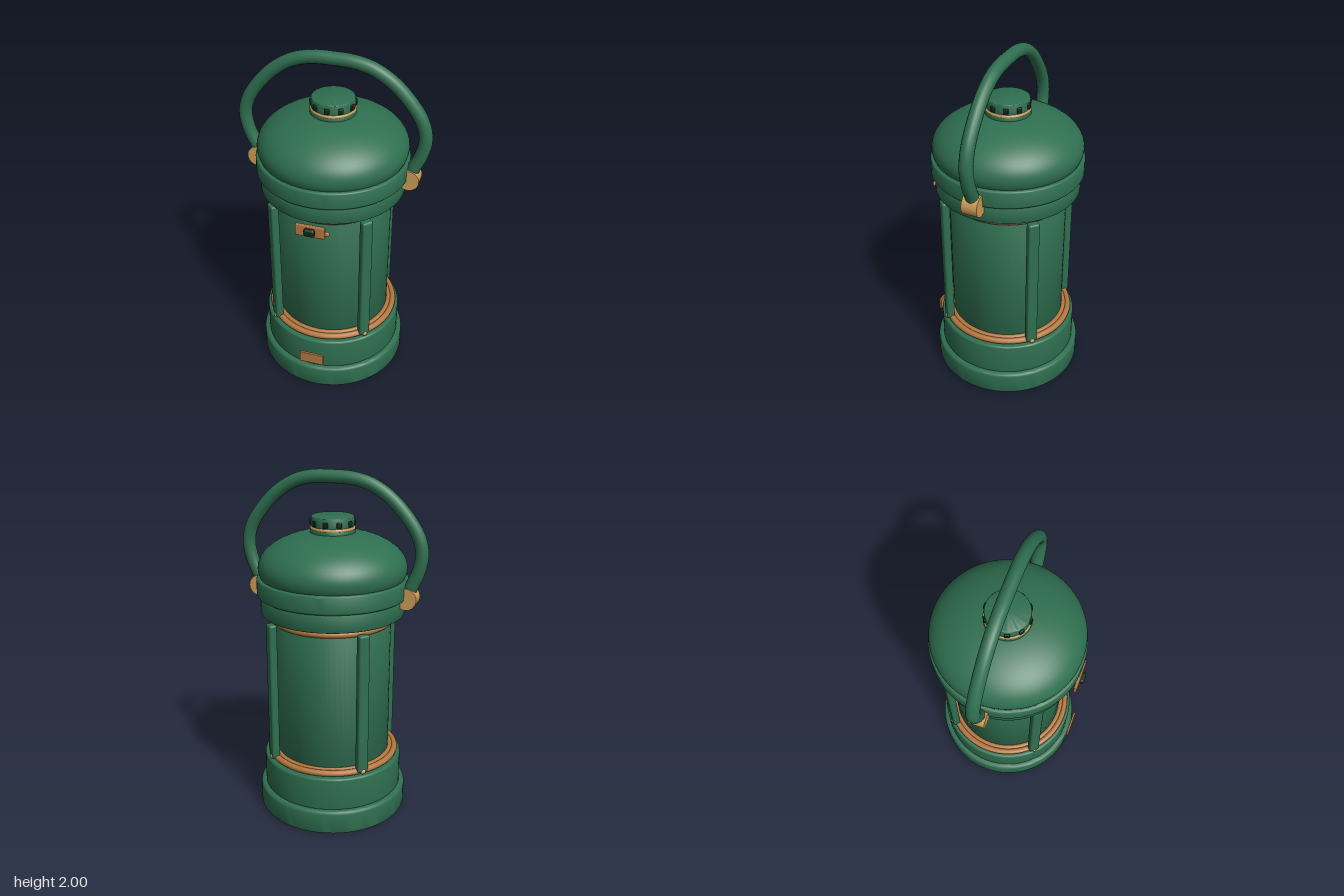
import * as THREE from 'three';
import { toCreasedNormals } from 'three/addons/utils/BufferGeometryUtils.js';
import { RoundedBoxGeometry } from 'three/addons/geometries/RoundedBoxGeometry.js';

const material = (name, color) => {
  const m = new THREE.MeshStandardMaterial({ color });
  m.name = name;
  return m;
};

export function createModel() {
  const green = material('green enamel', 0x2f6f50);
  const copper = material('copper', 0xb5773f);
  const brass = material('brass', 0xcb9c56);
  const dark = material('dark slots', 0x10251b);

  const lantern = new THREE.Group();
  lantern.name = 'lantern';
  lantern.position.z = -0.01;

  const add = (name, geometry, mat, x = 0, y = 0, z = 0, parent = lantern) => {
    const mesh = new THREE.Mesh(geometry, mat);
    mesh.name = name;
    mesh.position.set(x, y, z);
    parent.add(mesh);
    return mesh;
  };
  const lathe = (points) => toCreasedNormals(
    new THREE.LatheGeometry(points.map(([x, y]) => new THREE.Vector2(x, y)), 72), 0.6);

  // Closed drum with rounded rims
  const drum = (name, radius, y0, y1, bevel, mat = green) => {
    const points = [[0, y0]];
    for (const [cy, start] of [[y0 + bevel, -Math.PI / 2], [y1 - bevel, 0]]) {
      for (let i = 0; i <= 4; i++) {
        const a = start + (i / 4) * Math.PI / 2;
        points.push([radius - bevel + bevel * Math.cos(a), cy + bevel * Math.sin(a)]);
      }
    }
    points.push([0, y1]);
    return add(name, lathe(points), mat);
  };
  const ring = (name, radius, tube, y, mat) => {
    const geometry = new THREE.TorusGeometry(radius, tube, 12, 72).rotateX(Math.PI / 2);
    return add(name, geometry, mat, 0, y, 0);
  };

  // Base and body
  drum('baseFoot', 0.436, 0, 0.146, 0.02);
  drum('baseDrum', 0.406, 0.14, 0.34, 0.012);
  drum('body', 0.333, 0.33, 1.21, 0.005);
  ring('lowerOuterRing', 0.37, 0.018, 0.36, copper);
  ring('lowerInnerRing', 0.342, 0.016, 0.364, copper);
  ring('upperRing', 0.33, 0.02, 1.175, copper);

  // Four guard posts with a rivet at each foot
  for (let i = 0; i < 4; i++) {
    const post = new THREE.Group();
    post.name = 'guardPost';
    post.rotation.y = Math.PI / 4 + i * Math.PI / 2;
    lantern.add(post);
    add('postBar', new RoundedBoxGeometry(0.064, 0.82, 0.046, 3, 0.012), green, 0, 0.768, 0.377, post);
    add('postRivet', new THREE.SphereGeometry(0.018, 16, 12), brass, 0, 0.365, 0.39, post);
  }

  // Lid bands and dome
  drum('lidLowerBand', 0.408, 1.205, 1.315, 0.014);
  drum('lidUpperBand', 0.427, 1.31, 1.415, 0.014);
  const dome = [[0.395, 1.4]];
  for (let i = 0; i <= 20; i++) {
    const a = -0.25 + (i / 20) * (Math.PI / 2 + 0.25);
    dome.push([Math.max(0, 0.418 * Math.cos(a)), 1.465 + 0.208 * Math.sin(a)]);
  }
  add('lidDome', lathe(dome), green);

  // Top cap with vent slots
  drum('capNeck', 0.126, 1.65, 1.685, 0.004);
  ring('capRing', 0.115, 0.011, 1.687, brass);
  drum('ventCap', 0.119, 1.685, 1.753, 0.008);
  for (let i = 0; i < 10; i++) {
    const a = (i / 10) * Math.PI * 2;
    const slot = add('ventSlot', new RoundedBoxGeometry(0.028, 0.032, 0.016, 2, 0.005), dark,
      0.119 * Math.sin(a), 1.717, 0.119 * Math.cos(a));
    slot.rotation.y = a;
  }

  // Carrying handle and its pivots
  const half = [[0.43, 1.33], [0.457, 1.395], [0.489, 1.47], [0.507, 1.57], [0.488, 1.66],
    [0.43, 1.755], [0.325, 1.866], [0.215, 1.933], [0.11, 1.959]];
  const path = [
    ...half.map(([x, y]) => new THREE.Vector3(-x, y, 0)),
    new THREE.Vector3(0, 1.963, 0),
    ...half.slice().reverse().map(([x, y]) => new THREE.Vector3(x, y, 0)),
  ];
  add('handle', new THREE.TubeGeometry(new THREE.CatmullRomCurve3(path), 96, 0.037, 16), green);
  for (const side of [-1, 1]) {
    const pivot = new THREE.CylinderGeometry(0.06, 0.06, 0.09, 32).rotateX(Math.PI / 2);
    add('handlePivot', pivot, brass, side * 0.434, 1.325, 0);
  }

  // Front latch
  const latch = new THREE.Group();
  latch.name = 'latch';
  latch.position.set(0, 1.165, 0.422);
  lantern.add(latch);
  add('latchPlate', new RoundedBoxGeometry(0.165, 0.07, 0.02, 2, 0.005), copper, 0, 0, 0, latch);
  add('latchButton', new RoundedBoxGeometry(0.062, 0.046, 0.032, 3, 0.014), dark, 0, 0, 0.016, latch);
  const pin = add('latchPin', new THREE.SphereGeometry(0.016, 16, 12), copper, 0.092, -0.003, 0, latch);
  pin.scale.z = 0.6;

  // Blank plate on the base
  add('basePlate', new RoundedBoxGeometry(0.144, 0.075, 0.015, 2, 0.004), copper, 0, 0.236, 0.443);

  const model = new THREE.Group();
  model.name = 'model';
  model.add(lantern);
  return model;
}
